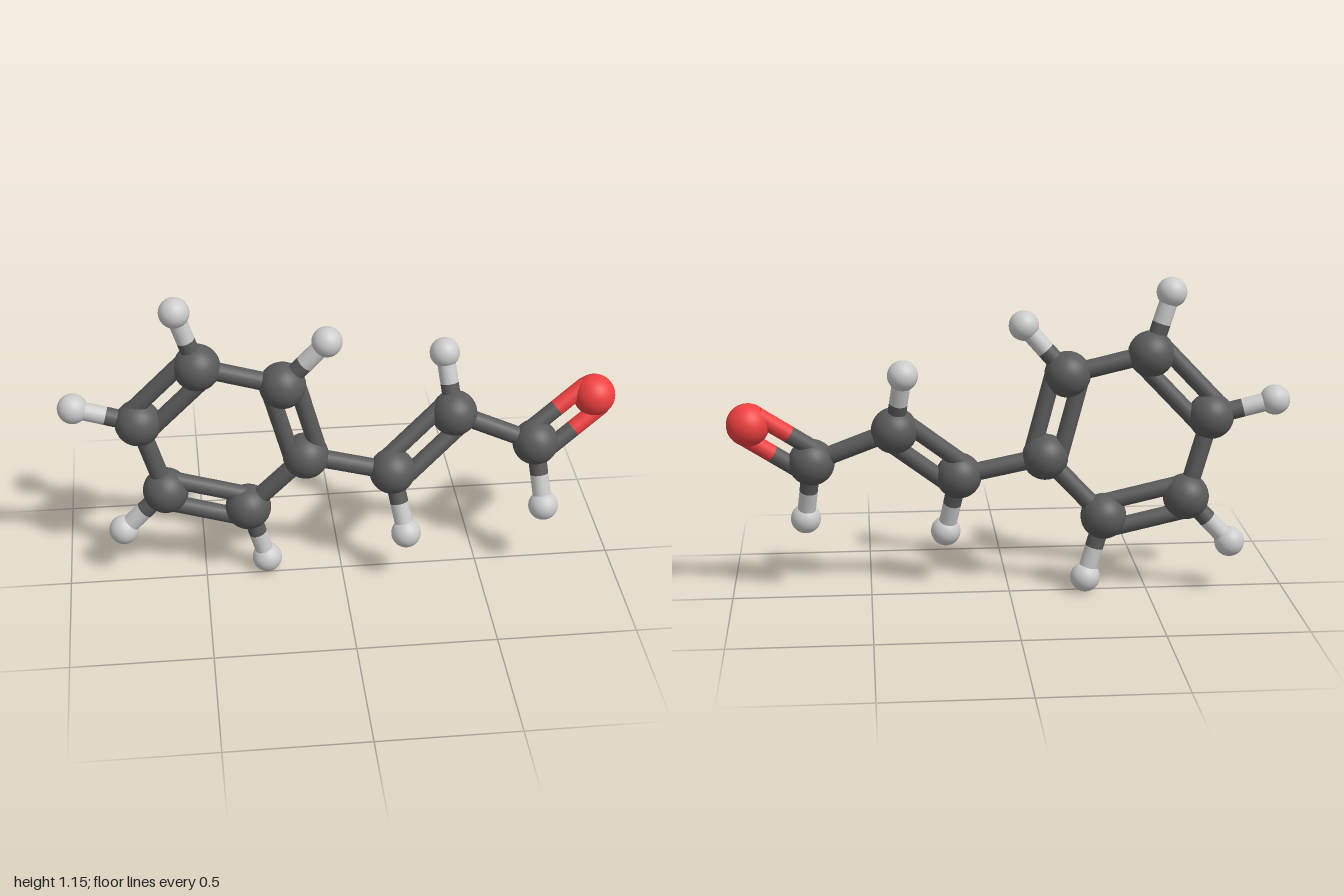
import * as THREE from 'three';

// Element styles: ball radius and material
const element = (radius, color) => ({
  radius,
  material: new THREE.MeshStandardMaterial({ color }),
  ball: new THREE.SphereGeometry(radius, 32, 20),
});
const carbon = element(0.083, 0x5a5a5a);
const oxygen = element(0.076, 0xf04040);
const hydrogen = element(0.054, 0xcccccc);

const atom = (type, x, y, z) => ({ type, pos: new THREE.Vector3(x, y, z) });

const ATOMS = {
  // six-carbon ring
  ringCarbon1: atom(carbon, -0.13, 0.505, 0.01),
  ringCarbon2: atom(carbon, -0.21, 0.805, 0.02),
  ringCarbon3: atom(carbon, -0.505, 0.88, -0.005),
  ringCarbon4: atom(carbon, -0.72, 0.655, -0.03),
  ringCarbon5: atom(carbon, -0.635, 0.36, -0.04),
  ringCarbon6: atom(carbon, -0.34, 0.285, -0.015),
  // side chain
  chainCarbon1: atom(carbon, 0.18, 0.435, 0.035),
  chainCarbon2: atom(carbon, 0.41, 0.625, -0.03),
  chainCarbon3: atom(carbon, 0.705, 0.505, 0.005),
  oxygen: atom(oxygen, 0.922, 0.66, -0.045),
  // hydrogens
  ringHydrogen2: atom(hydrogen, -0.055, 0.98, 0.04),
  ringHydrogen3: atom(hydrogen, -0.575, 1.1, 0),
  ringHydrogen4: atom(hydrogen, -0.946, 0.715, -0.05),
  ringHydrogen5: atom(hydrogen, -0.795, 0.19, -0.055),
  ringHydrogen6: atom(hydrogen, -0.275, 0.056, -0.018),
  chainHydrogen1: atom(hydrogen, 0.225, 0.207, 0.1),
  chainHydrogen2: atom(hydrogen, 0.38, 0.838, -0.097),
  chainHydrogen3: atom(hydrogen, 0.732, 0.275, 0.075),
};

const SINGLE_BONDS = [
  ['ringCarbon2', 'ringCarbon3'],
  ['ringCarbon4', 'ringCarbon5'],
  ['ringCarbon6', 'ringCarbon1'],
  ['ringCarbon1', 'chainCarbon1'],
  ['chainCarbon2', 'chainCarbon3'],
  ...[2, 3, 4, 5, 6].map((i) => ['ringCarbon' + i, 'ringHydrogen' + i]),
  ...[1, 2, 3].map((i) => ['chainCarbon' + i, 'chainHydrogen' + i]),
];

// The third atom fixes the plane in which the two rods lie
const DOUBLE_BONDS = [
  ['ringCarbon1', 'ringCarbon2', 'ringCarbon3'],
  ['ringCarbon3', 'ringCarbon4', 'ringCarbon5'],
  ['ringCarbon5', 'ringCarbon6', 'ringCarbon1'],
  ['chainCarbon1', 'chainCarbon2', 'chainCarbon3'],
  ['chainCarbon3', 'oxygen', 'chainCarbon2'],
];

const UP = new THREE.Vector3(0, 1, 0);

// Cylinder between two points
function rod(from, to, radius, material) {
  const dir = to.clone().sub(from);
  const mesh = new THREE.Mesh(
    new THREE.CylinderGeometry(radius, radius, dir.length(), 20), material);
  mesh.position.copy(from).add(to).multiplyScalar(0.5);
  mesh.quaternion.setFromUnitVectors(UP, dir.normalize());
  mesh.name = 'bondHalf';
  return mesh;
}

// Bond whose halves take the colours of the atoms they touch
function bond(a, b, radius, shift = new THREE.Vector3()) {
  const start = a.pos.clone().add(shift);
  const end = b.pos.clone().add(shift);
  const middle = start.clone().lerp(end, 0.5);
  return [
    rod(start, middle, radius, a.type.material),
    rod(middle, end, radius, b.type.material),
  ];
}

export function createModel() {
  const model = new THREE.Group();
  model.name = 'molecule';

  // Atoms
  for (const [name, { type, pos }] of Object.entries(ATOMS)) {
    const ball = new THREE.Mesh(type.ball, type.material);
    ball.name = name;
    ball.position.copy(pos);
    model.add(ball);
  }

  // Single bonds
  for (const [a, b] of SINGLE_BONDS) {
    const group = new THREE.Group();
    group.name = 'singleBond';
    group.add(...bond(ATOMS[a], ATOMS[b], 0.033));
    model.add(group);
  }

  // Double bonds: two parallel rods
  for (const [a, b, c] of DOUBLE_BONDS) {
    const dir = ATOMS[b].pos.clone().sub(ATOMS[a].pos).normalize();
    const side = ATOMS[c].pos.clone().sub(ATOMS[a].pos);
    side.addScaledVector(dir, -side.dot(dir)).normalize();
    const group = new THREE.Group();
    group.name = 'doubleBond';
    for (const s of [-0.05, 0.05]) {
      group.add(...bond(ATOMS[a], ATOMS[b], 0.031, side.clone().multiplyScalar(s)));
    }
    model.add(group);
  }
  return model;
}
